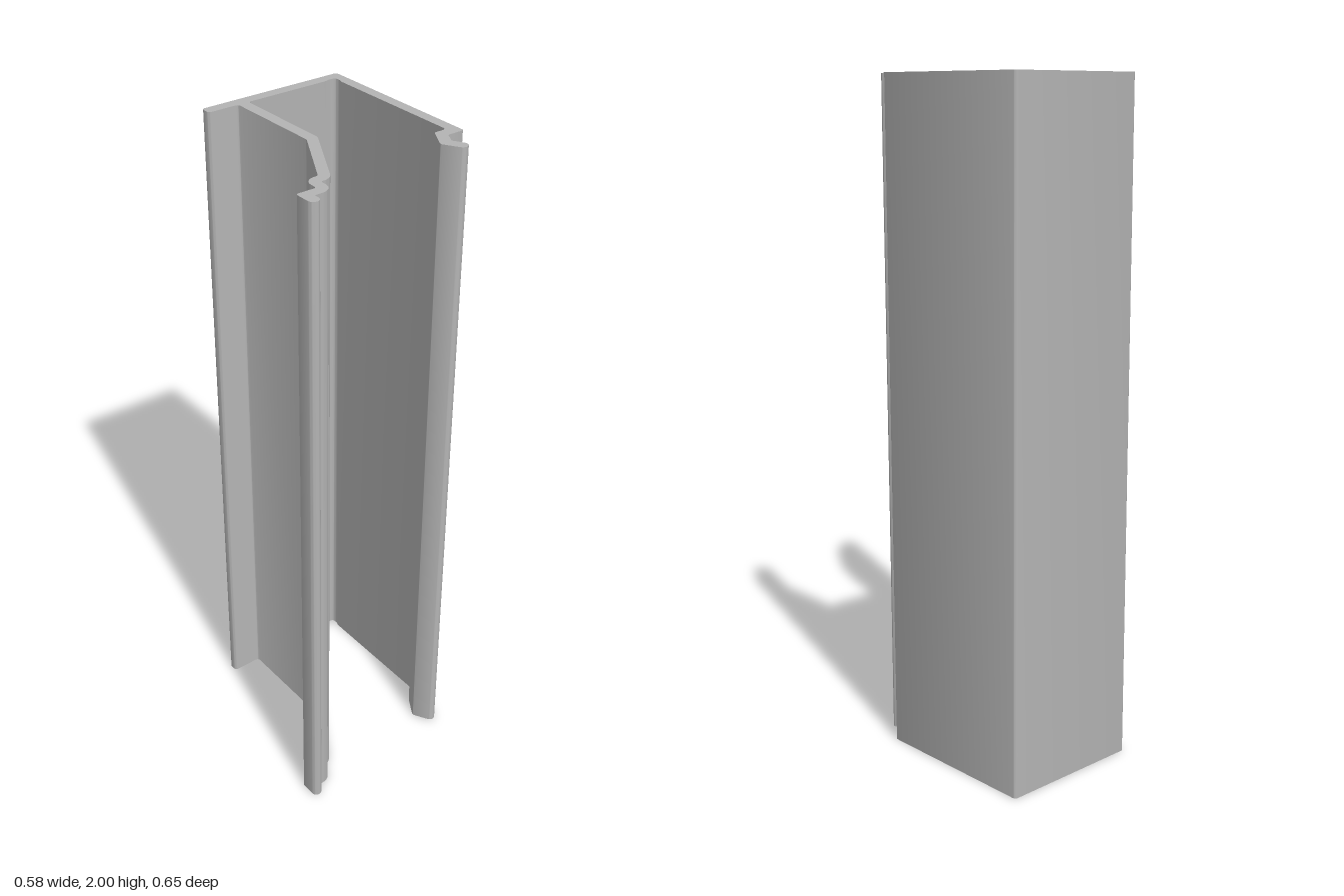
import * as THREE from 'three';
import { toCreasedNormals } from 'three/addons/utils/BufferGeometryUtils.js';

const LENGTH = 2;

// Cross-section corners, each [x, z, fillet radius]
const PROFILE = [
  // back flange and right wall, outside
  [-0.165, -0.327, 0.011], [0.289, -0.327, 0.01], [0.289, 0.207, 0.006],
  // hooked lip
  [0.236, 0.207, 0.008], [0.217, 0.24, 0.006], [0.242, 0.284, 0.0158], [0.214, 0.3, 0.0158],
  [0.179, 0.24, 0.015], [0.218, 0.174, 0.012], [0.257, 0.174, 0.01],
  // inside of the channel with the relieved corner
  [0.257, -0.262, 0.01], [0.261, -0.275, 0.01], [0.261, -0.297, 0.012], [0.238, -0.297, 0.01],
  [0.224, -0.293, 0.01], [-0.037, -0.293, 0.01], [-0.037, 0.015, 0.045],
  // stepped foot, inner side
  [-0.167, 0.24, 0.04], [-0.199, 0.24, 0.008], [-0.199, 0.294, 0.036], [-0.258, 0.294, 0.004],
  [-0.258, 0.325, 0.0158], [-0.29, 0.325, 0.0158], [-0.29, 0.262, 0.007],
  // stepped foot, outer side, and left wall
  [-0.229, 0.262, 0.008], [-0.229, 0.209, 0.033], [-0.184, 0.209, 0.012],
  [-0.07, 0.012, 0.012], [-0.07, -0.293, 0.01], [-0.165, -0.293, 0.011],
];

// Closed shape whose corners are replaced by circular fillets
function filletedShape(corners) {
  const shape = new THREE.Shape();
  const points = corners.map(([x, z]) => new THREE.Vector2(x, -z));
  const n = points.length;
  points.forEach((p, i) => {
    const toPrev = points[(i + n - 1) % n].clone().sub(p).normalize();
    const toNext = points[(i + 1) % n].clone().sub(p).normalize();
    const turn = Math.PI - Math.acos(THREE.MathUtils.clamp(toPrev.dot(toNext), -1, 1));
    const r = corners[i][2];
    const trim = r * Math.tan(turn / 2);
    const pull = trim - (4 / 3) * Math.tan(turn / 4) * r;
    const at = (dir, d) => p.clone().addScaledVector(dir, d);
    const a = at(toPrev, trim), b = at(toPrev, pull), c = at(toNext, pull), d = at(toNext, trim);
    if (i === 0) shape.moveTo(a.x, a.y);
    else shape.lineTo(a.x, a.y);
    shape.bezierCurveTo(b.x, b.y, c.x, c.y, d.x, d.y);
  });
  shape.closePath();
  return shape;
}

export function createModel() {
  const aluminium = new THREE.MeshStandardMaterial({ color: 0xb4b4b4 });
  aluminium.name = 'aluminium grey';

  // One constant section extruded upright
  const extrusion = new THREE.ExtrudeGeometry(filletedShape(PROFILE), {
    depth: LENGTH, bevelEnabled: false, curveSegments: 8,
  });
  extrusion.rotateX(-Math.PI / 2);

  const rail = new THREE.Mesh(toCreasedNormals(extrusion, 0.5), aluminium);
  rail.name = 'railProfile';

  const model = new THREE.Group();
  model.name = 'extrudedRail';
  model.add(rail);
  return model;
}
